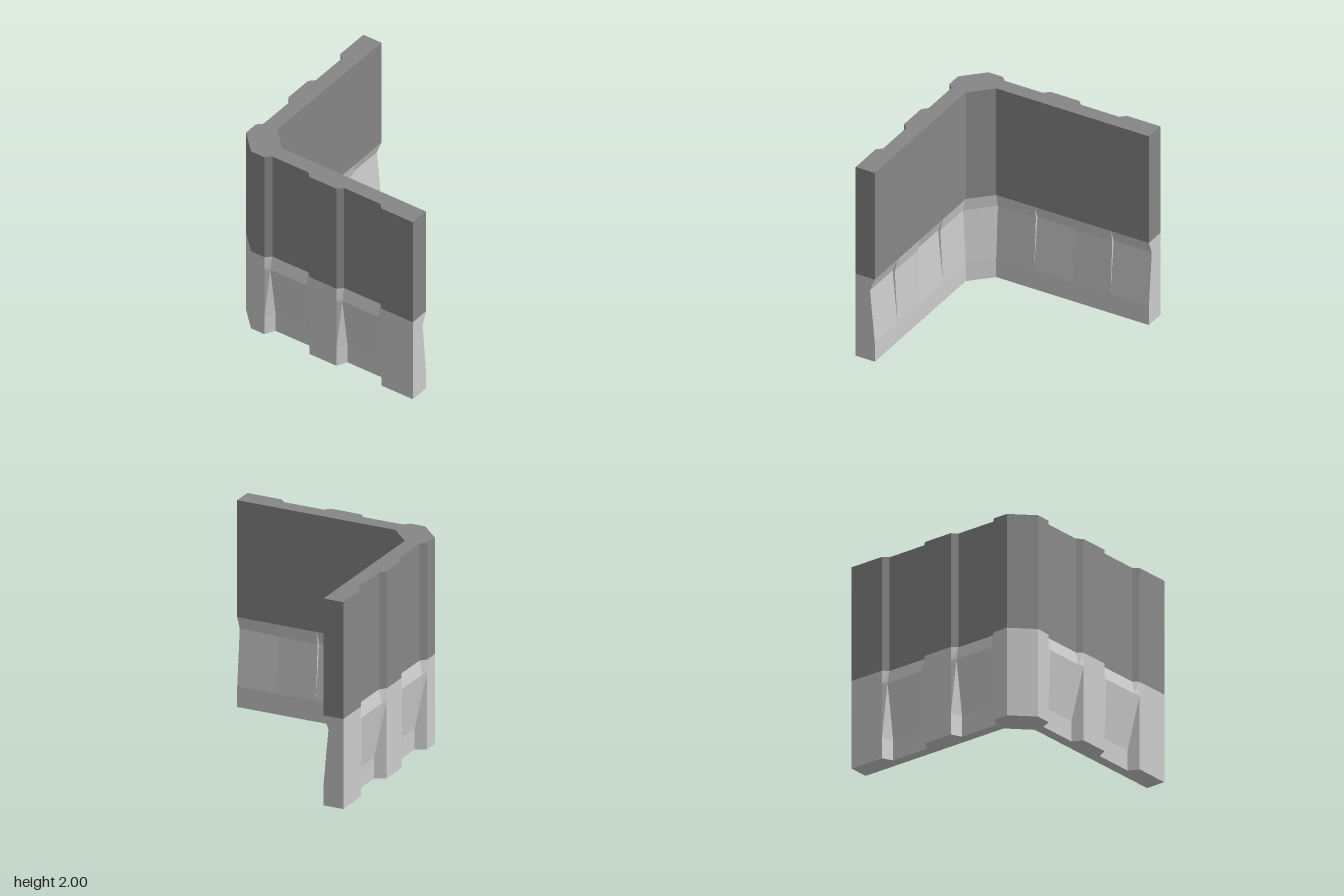
import * as THREE from 'three';

// Plan outline of the corner wall at one height.
// panel: outer depth of the sunken panels, rib / back: inner depth between and behind panels
function outline({ panel, rib, back }) {
  const s = 0.002; // half width of the small step on the inner face
  const arm = [
    [-0.8, 1], [-0.65, 1], [-0.6, panel], [-0.2, panel], [-0.15, 1],
    [0.15, 1], [0.2, panel], [0.6, panel], [0.65, 1], [1, 1],
    [1, rib], [0.6 + s, rib], [0.6 - s, back], [0.2 + s, back], [0.2 - s, rib],
    [-0.2 + s, rib], [-0.2 - s, back], [-0.6, back],
  ];
  // second arm mirrored across the diagonal of the corner
  const mirrored = arm.map(([x, z]) => [-z, -x]).reverse();
  return [...arm, ...mirrored];
}

// Joins outlines at several heights into a faceted solid
function loft(levels, capTop, capBottom) {
  const rings = levels.map((l) => outline(l).map(([x, z]) => [x, l.y, z]));
  const pos = [];
  const tri = (a, b, c) => pos.push(...a, ...b, ...c);
  for (let k = 0; k < rings.length - 1; k++) {
    const lo = rings[k], hi = rings[k + 1];
    for (let i = 0; i < lo.length; i++) {
      const j = (i + 1) % lo.length;
      tri(lo[i], lo[j], hi[j]);
      tri(lo[i], hi[j], hi[i]);
    }
  }
  const cap = (ring, up) => {
    const contour = ring.map(([x, , z]) => new THREE.Vector2(x, -z));
    for (const [a, b, c] of THREE.ShapeUtils.triangulateShape(contour, [])) {
      if (up) tri(ring[a], ring[b], ring[c]);
      else tri(ring[a], ring[c], ring[b]);
    }
  };
  if (capTop) cap(rings[rings.length - 1], true);
  if (capBottom) cap(rings[0], false);
  const geometry = new THREE.BufferGeometry();
  geometry.setAttribute('position', new THREE.Float32BufferAttribute(pos, 3));
  geometry.computeVertexNormals();
  return geometry;
}

export function createModel() {
  const group = new THREE.Group();
  group.name = 'cornerWall';
  const add = (name, geometry, color) => {
    const material = new THREE.MeshStandardMaterial({ color, flatShading: true });
    const mesh = new THREE.Mesh(geometry, material);
    mesh.name = name;
    group.add(mesh);
  };

  // Light lower wall, pinched just below the seam
  add('lowerWall', loft([
    { y: 0, panel: 0.9, rib: 0.8, back: 0.8 },
    { y: 0.2, panel: 0.9, rib: 0.8, back: 0.8 },
    { y: 0.74, panel: 0.98, rib: 0.85, back: 0.83 },
    { y: 0.87, panel: 0.95, rib: 0.8, back: 0.8 },
  ], false, true), 0xcccccc);

  // Dark upper wall
  add('upperWall', loft([
    { y: 0.87, panel: 0.95, rib: 0.8, back: 0.8 },
    { y: 2, panel: 0.95, rib: 0.8, back: 0.8 },
  ], true, false), 0x868686);

  return group;
}
